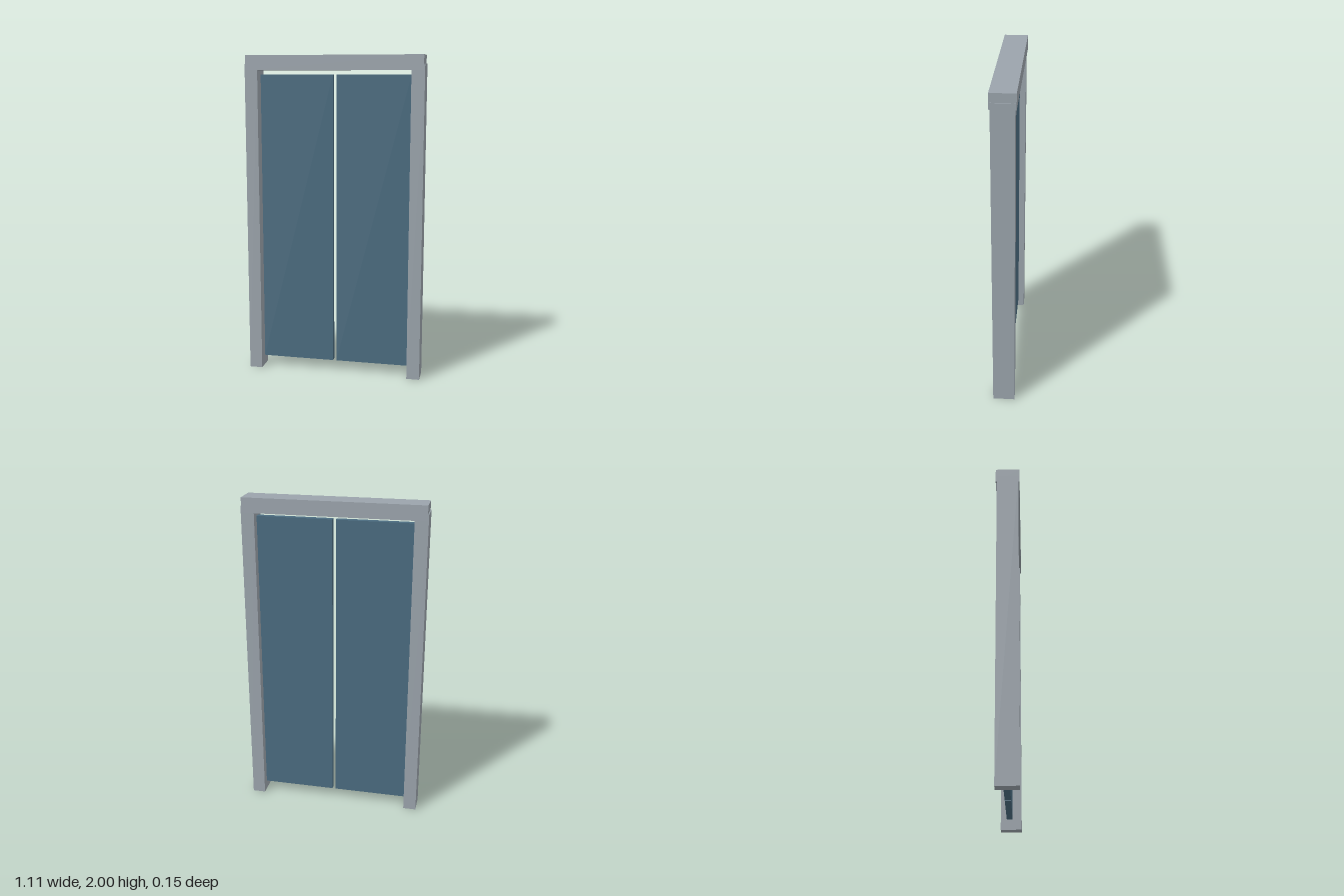
import * as THREE from 'three';

export function createModel() {
  const model = new THREE.Group();
  model.name = 'doubleSlidingDoor';

  const frameGrey = new THREE.MeshStandardMaterial({ color: 0x9aa3ab });
  frameGrey.name = 'frame grey';
  const panelBlue = new THREE.MeshStandardMaterial({ color: 0x4a6b7f });
  panelBlue.name = 'panel blue';

  // Box given by its minimum and maximum corners
  function addBox(name, material, [x0, y0, z0], [x1, y1, z1]) {
    const mesh = new THREE.Mesh(new THREE.BoxGeometry(x1 - x0, y1 - y0, z1 - z0), material);
    mesh.position.set((x0 + x1) / 2, (y0 + y1) / 2, (z0 + z1) / 2);
    mesh.name = name;
    model.add(mesh);
    return mesh;
  }

  // Header beam, slightly deeper than the posts
  addBox('header', frameGrey, [-0.547, 1.91, -0.073], [0.547, 2, 0.073]);

  // Posts and door panels, mirrored left and right
  for (const [side, sign] of [['left', 1], ['right', -1]]) {
    const post = addBox(side + 'Post', frameGrey, [0.473, 0, -0.066], [0.553, 1.948, 0.066]);
    const panel = addBox(side + 'Panel', panelBlue, [0.011, 0.065, -0.028], [0.469, 1.885, 0.009]);
    post.position.x *= sign;
    panel.position.x *= sign;
  }

  return model;
}
